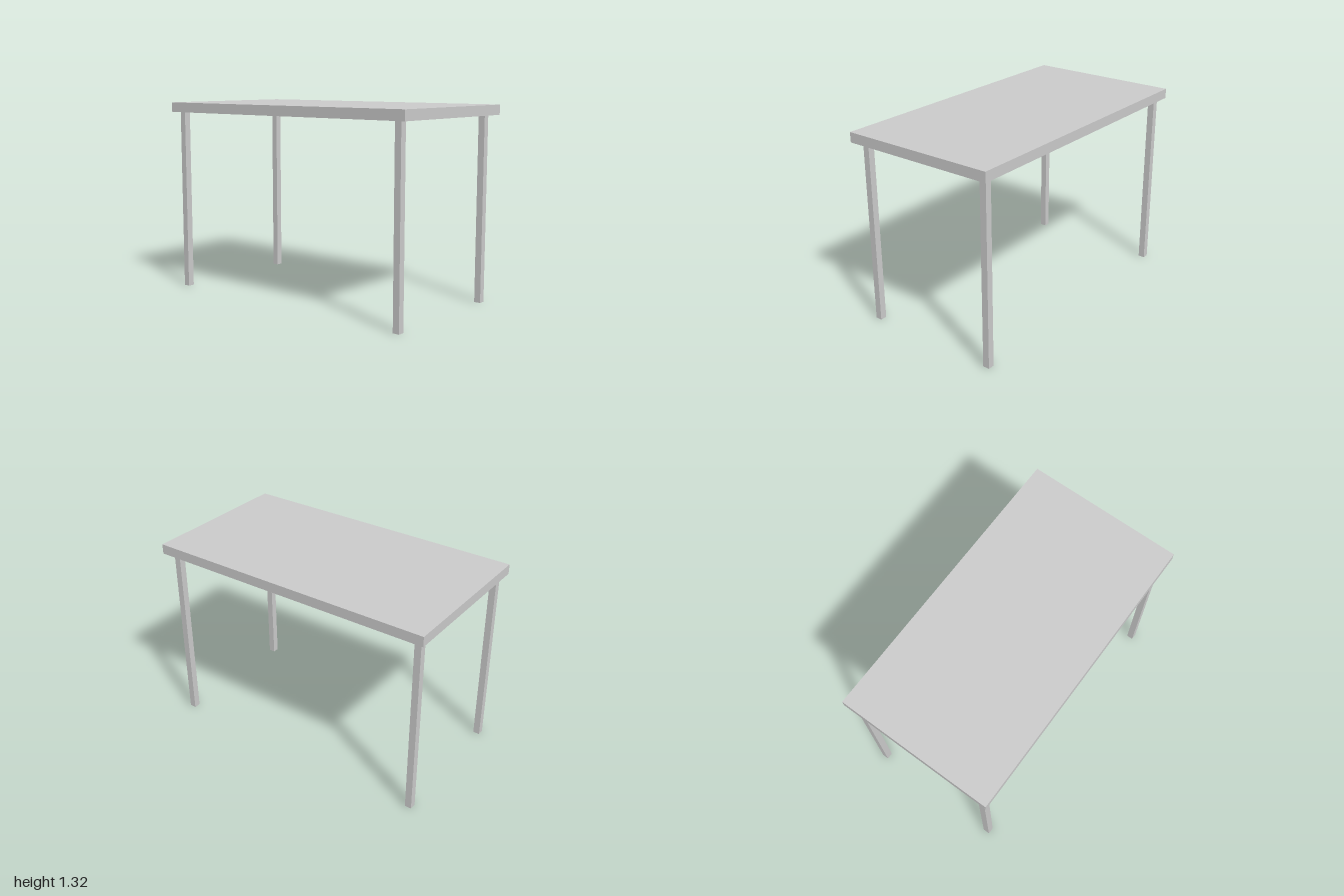
import * as THREE from 'three';

const TOP_Y = 1.32, LEG_H = 1.253, LEG_W = 0.045;

export function createModel() {
  const table = new THREE.Group();
  table.name = 'table';
  const material = new THREE.MeshStandardMaterial({ color: 0xcccccc });

  function addBox(name, size, position) {
    const mesh = new THREE.Mesh(new THREE.BoxGeometry(...size), material);
    mesh.name = name;
    mesh.position.set(...position);
    table.add(mesh);
  }

  // Slab top
  const thickness = TOP_Y - LEG_H;
  addBox('tableTop', [2, thickness, 1.07], [0, TOP_Y - thickness / 2, 0]);

  // Four square legs, the right pair slightly nearer the edge
  for (const [side, x] of [['Right', -0.941], ['Left', 0.92]]) {
    for (const [end, z] of [['front', 0.466], ['back', -0.466]]) {
      addBox(`${end}${side}Leg`, [LEG_W, LEG_H, LEG_W], [x, LEG_H / 2, z]);
    }
  }
  return table;
}
